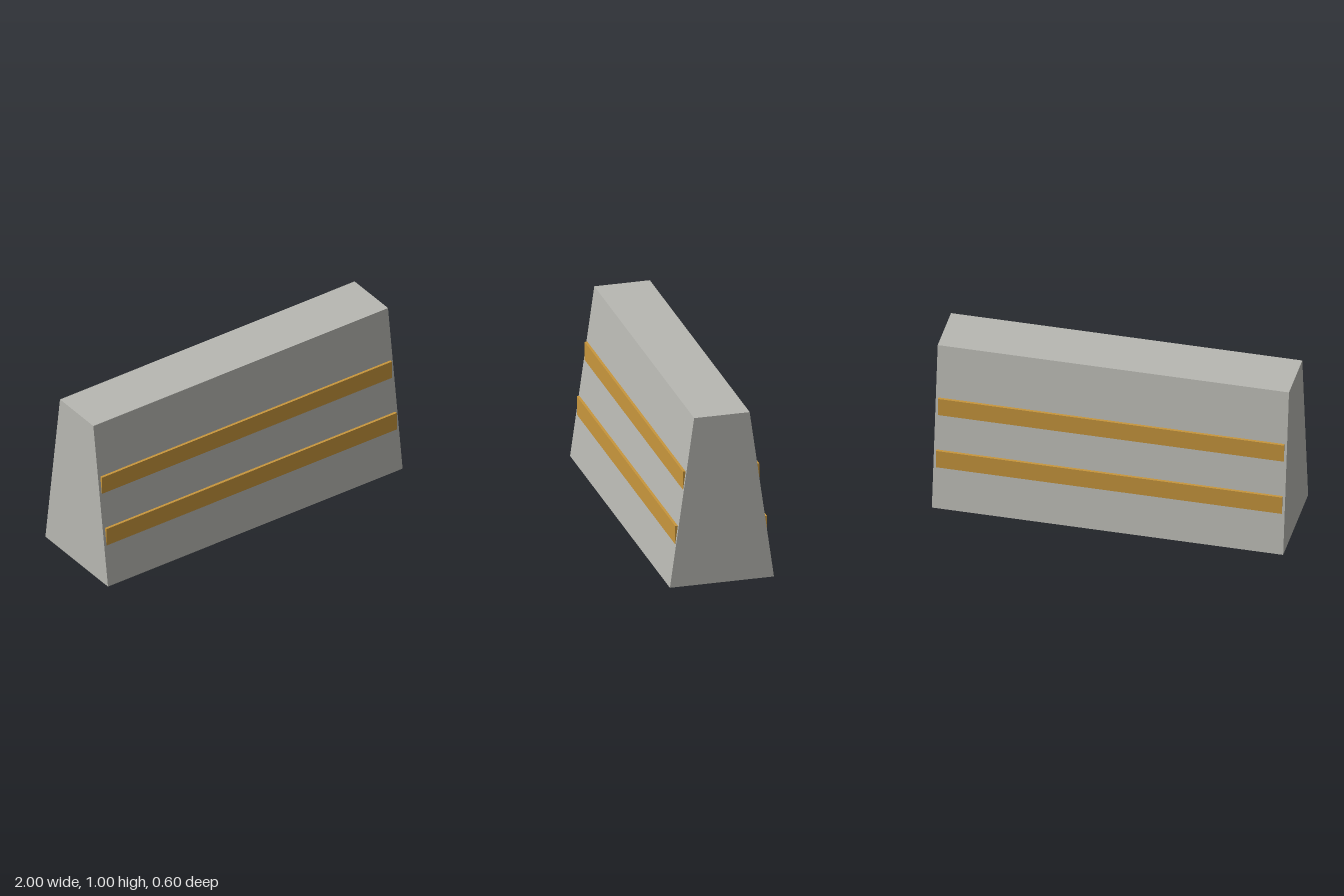
import * as THREE from 'three';

export function createModel() {
  const model = new THREE.Group();
  model.name = 'barrier';

  const concrete = new THREE.MeshStandardMaterial({ color: 0xb8b8b2 });
  concrete.name = 'concrete grey';
  const amber = new THREE.MeshStandardMaterial({ color: 0xc8963c });
  amber.name = 'amber';

  // Tapered block: trapezoid section swept along x
  const section = new THREE.Shape([
    new THREE.Vector2(-0.3, 0),
    new THREE.Vector2(0.3, 0),
    new THREE.Vector2(0.16, 1),
    new THREE.Vector2(-0.16, 1),
  ]);
  const blockGeometry = new THREE.ExtrudeGeometry(section, { depth: 2, bevelEnabled: false });
  blockGeometry.translate(0, 0, -1).rotateY(Math.PI / 2);
  const block = new THREE.Mesh(blockGeometry, concrete);
  block.name = 'taperedBlock';
  model.add(block);

  // Upright strips half sunk into both sloping faces
  const depth = 0.04;
  const strips = [
    { name: 'lowerStrip', top: 0.36, outer: 0.265 },
    { name: 'upperStrip', top: 0.68, outer: 0.22 },
  ];
  for (const { name, top, outer } of strips) {
    for (const side of [1, -1]) {
      const strip = new THREE.Mesh(new THREE.BoxGeometry(1.97, 0.12, depth), amber);
      strip.name = (side > 0 ? 'front ' : 'back ') + name;
      strip.position.set(0, top - 0.06, side * (outer - depth / 2));
      model.add(strip);
    }
  }
  return model;
}
